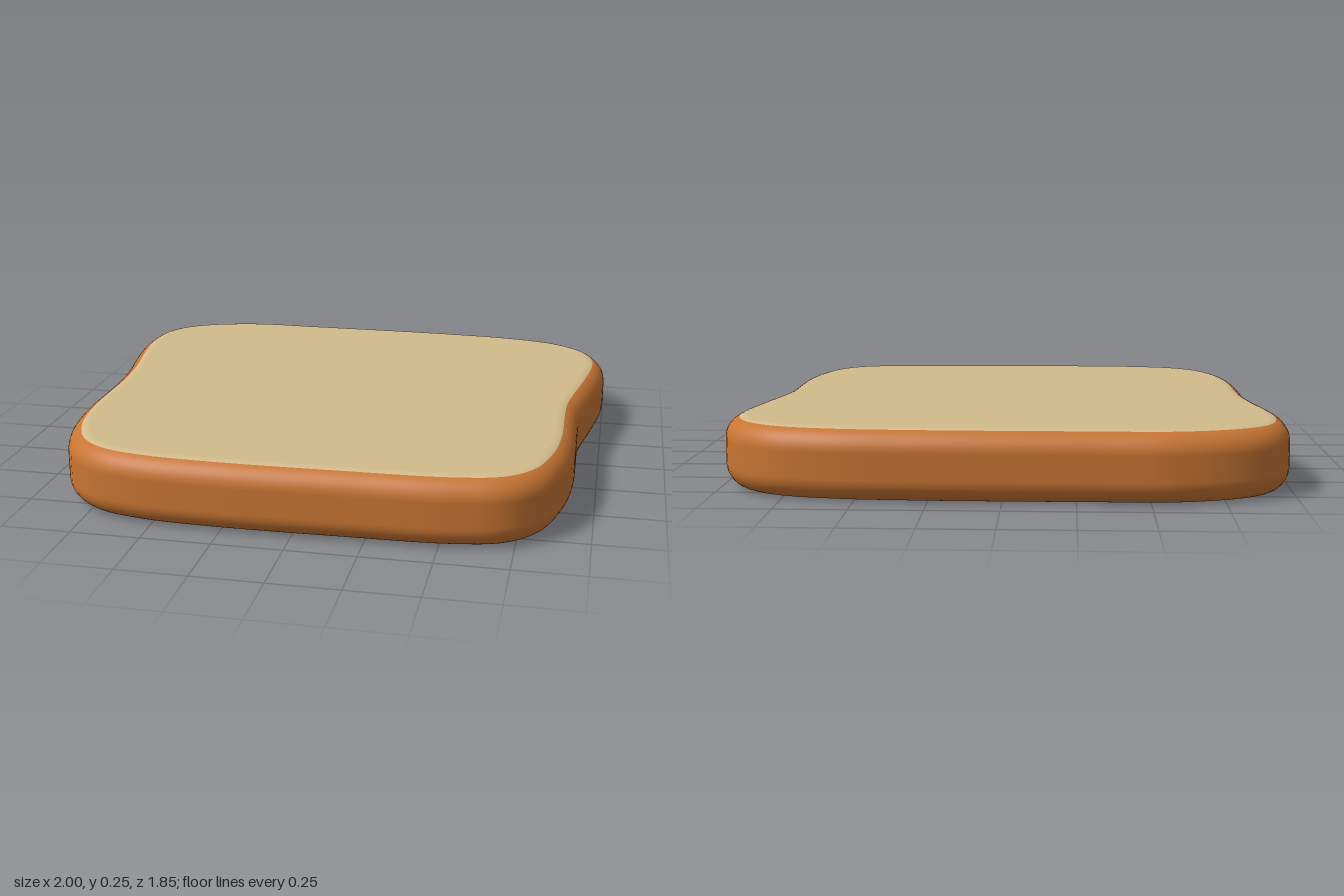
import * as THREE from 'three';

const HEIGHT = 0.25, ROUND = 0.08, STEPS = 144;
const SPLIT = Math.acos(0.375); // angle on the rounded rim where crust meets crumb

// Slice outline in x, z, running from the back edge round the left side
const OUTLINE = [
  [0.3, -0.923], [0.6, -0.902], [0.8, -0.85], [0.93, -0.75], [0.99, -0.62], [1, -0.5],
  [0.975, -0.3], [0.94, -0.1], [0.922, 0.03], [0.92, 0.4], [0.9, 0.57], [0.84, 0.75],
  [0.73, 0.855], [0.55, 0.9], [0.2, 0.915], [-0.3, 0.92], [-0.55, 0.903], [-0.72, 0.855],
  [-0.83, 0.76], [-0.9, 0.6], [-0.93, 0.4], [-0.935, 0.02], [-0.952, -0.15], [-0.985, -0.35],
  [-1, -0.52], [-0.98, -0.68], [-0.92, -0.78], [-0.8, -0.86], [-0.58, -0.92], [-0.3, -0.925],
];

// Outline samples with their outward directions
function sampleOutline() {
  const curve = new THREE.CatmullRomCurve3(
    OUTLINE.map(([x, z]) => new THREE.Vector3(x, 0, z)), true, 'centripetal');
  return Array.from({ length: STEPS }, (_, i) => {
    const p = curve.getPointAt(i / STEPS), t = curve.getTangentAt(i / STEPS);
    return { x: p.x, z: p.z, nx: t.z, nz: -t.x };
  });
}

// Rim angles from a to b: -90 degrees faces down, +90 degrees faces up
function rimAngles(a, b, count) {
  return Array.from({ length: count + 1 }, (_, i) => a + (b - a) * i / count);
}

// Sweep rim angles round the outline; cap is +1 or -1 to close the top or bottom
function sweepRim(outline, angles, cap = 0) {
  const positions = [], normals = [], index = [];
  for (const a of angles) {
    const c = Math.cos(a), s = Math.sin(a);
    const inset = ROUND * (1 - c);
    const y = (a < 0 ? ROUND : HEIGHT - ROUND) + ROUND * s;
    for (const o of outline) {
      positions.push(o.x - o.nx * inset, y, o.z - o.nz * inset);
      normals.push(o.nx * c, s, o.nz * c);
    }
  }
  for (let j = 0; j < angles.length - 1; j++) {
    for (let i = 0; i < STEPS; i++) {
      const k = (i + 1) % STEPS, lo = j * STEPS, hi = lo + STEPS;
      index.push(lo + i, hi + i, hi + k, lo + i, hi + k, lo + k);
    }
  }
  if (cap) {
    const ring = (cap > 0 ? angles.length - 1 : 0) * STEPS, centre = positions.length / 3;
    positions.push(0, cap > 0 ? HEIGHT : 0, 0);
    normals.push(0, cap, 0);
    for (let i = 0; i < STEPS; i++) {
      const a = ring + i, b = ring + (i + 1) % STEPS;
      index.push(centre, ...(cap > 0 ? [b, a] : [a, b]));
    }
  }
  const geometry = new THREE.BufferGeometry();
  geometry.setAttribute('position', new THREE.Float32BufferAttribute(positions, 3));
  geometry.setAttribute('normal', new THREE.Float32BufferAttribute(normals, 3));
  geometry.setIndex(index);
  return geometry;
}

export function createModel() {
  const crust = new THREE.MeshStandardMaterial({ color: 0xc87533 });
  crust.name = 'crust brown';
  const crumb = new THREE.MeshStandardMaterial({ color: 0xd2bb8c });
  crumb.name = 'crumb cream';

  const group = new THREE.Group();
  group.name = 'breadSlice';
  const outline = sampleOutline();
  const add = (name, angles, material, cap) => {
    const mesh = new THREE.Mesh(sweepRim(outline, angles, cap), material);
    mesh.name = name;
    group.add(mesh);
  };

  // Crust band round the edge, its flat middle lying between the two rounded rims
  add('crust', [...rimAngles(-SPLIT, -1e-6, 8), ...rimAngles(0, SPLIT, 8)], crust);
  // Crumb faces, each carrying on the rounding of the rim
  add('topCrumb', rimAngles(SPLIT, Math.PI / 2, 4), crumb, 1);
  add('bottomCrumb', rimAngles(-Math.PI / 2, -SPLIT, 4), crumb, -1);
  return group;
}
